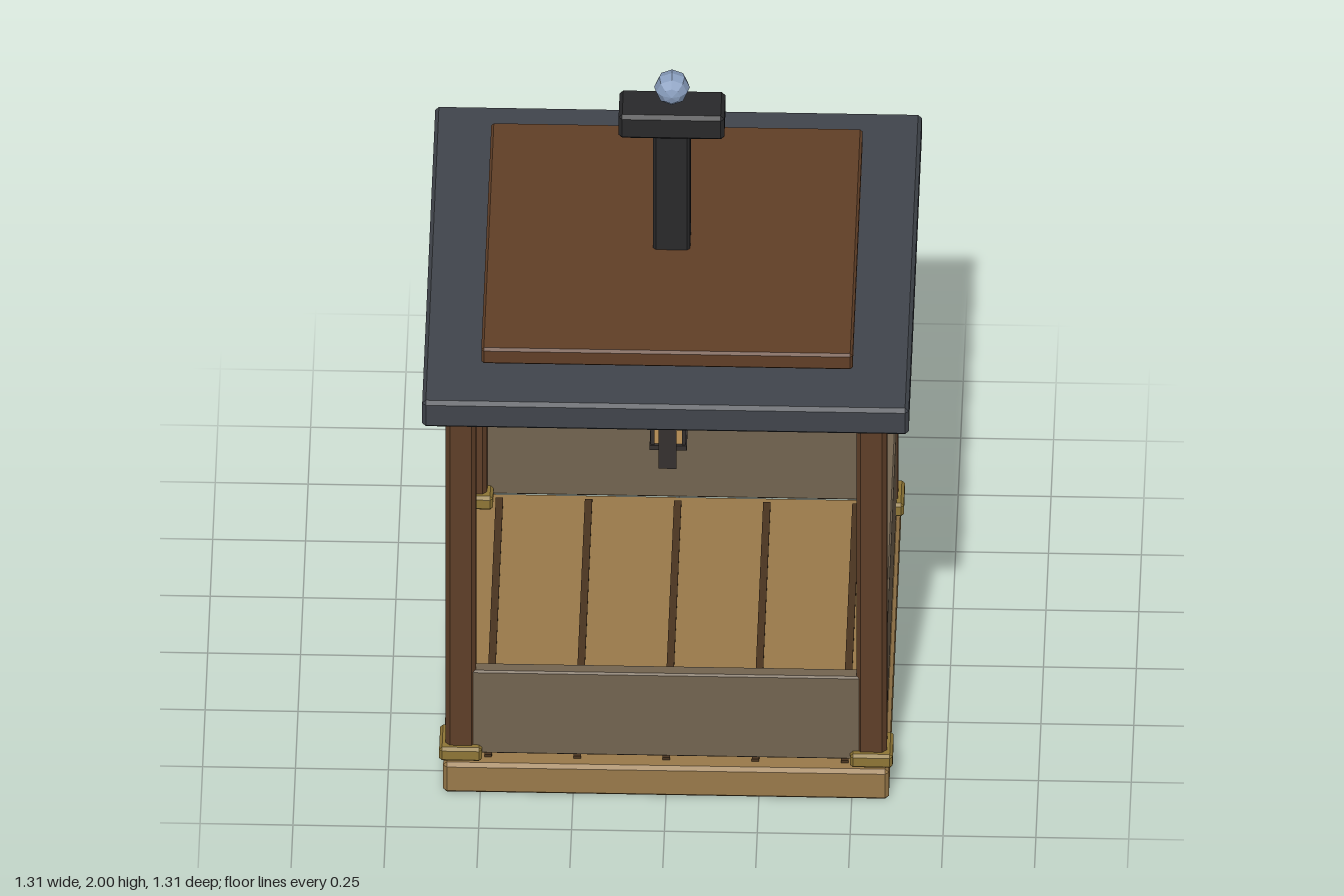
import * as THREE from 'three';
import { ConvexGeometry } from 'three/addons/geometries/ConvexGeometry.js';

const mat = (color) => new THREE.MeshStandardMaterial({ color, flatShading: true });
const M = {
  oak: mat(0x9a7a4a), post: mat(0x5e3f28), wall: mat(0x736450), slate: mat(0x41454c),
  shingle: mat(0x613f27), iron: mat(0x29292b), brass: mat(0x8f7636),
  glass: mat(0xc0955a), crystal: mat(0x8ba0c0), gap: mat(0x4a3520), lamp: mat(0x35302f),
};

// Box with a flat chamfer on every edge
function chamferBox(w, h, d, c) {
  const pts = [];
  for (const sx of [-1, 1]) for (const sy of [-1, 1]) for (const sz of [-1, 1]) {
    const x = w / 2, y = h / 2, z = d / 2;
    pts.push(
      new THREE.Vector3(sx * x, sy * (y - c), sz * (z - c)),
      new THREE.Vector3(sx * (x - c), sy * y, sz * (z - c)),
      new THREE.Vector3(sx * (x - c), sy * (y - c), sz * z));
  }
  return new ConvexGeometry(pts);
}

function add(parent, name, geometry, material, x = 0, y = 0, z = 0) {
  const mesh = new THREE.Mesh(geometry, material);
  mesh.name = name;
  mesh.position.set(x, y, z);
  parent.add(mesh);
  return mesh;
}

// Block given by its bottom and top heights
function block(parent, name, material, w, y0, y1, d, x = 0, z = 0, c = 0) {
  const h = y1 - y0;
  const geometry = c ? chamferBox(w, h, d, c) : new THREE.BoxGeometry(w, h, d);
  return add(parent, name, geometry, material, x, (y0 + y1) / 2, z);
}

function createLantern() {
  const g = new THREE.Group();
  g.name = 'lantern';
  // Bracket
  block(g, 'bracketPlate', M.lamp, 0.048, 1.01, 1.245, 0.026, 0, 0.448);
  block(g, 'bracketArm', M.lamp, 0.026, 1.203, 1.23, 0.13, 0, 0.395);
  add(g, 'hook', new THREE.CylinderGeometry(0.005, 0.005, 0.06, 6), M.lamp, 0, 1.18, 0.333);
  // Lamp housing
  const lamp = new THREE.Group();
  lamp.name = 'lampHousing';
  lamp.position.z = 0.33;
  g.add(lamp);
  block(lamp, 'lampBase', M.lamp, 0.1, 1.01, 1.026, 0.1);
  block(lamp, 'lampGlass', M.glass, 0.084, 1.026, 1.137, 0.084);
  for (const x of [-0.042, 0.042]) for (const z of [-0.042, 0.042])
    block(lamp, 'lampCornerBar', M.lamp, 0.01, 1.026, 1.137, 0.01, x, z);
  const roof = new THREE.CylinderGeometry(0.03 * Math.SQRT2, 0.05 * Math.SQRT2, 0.033, 4);
  roof.rotateY(Math.PI / 4);
  add(lamp, 'lampRoof', roof, M.lamp, 0, 1.153, 0);
  return g;
}

export function createModel() {
  const model = new THREE.Group();
  model.name = 'kiosk';

  // Floor with dark plank seams
  block(model, 'base', M.oak, 1.2, 0, 0.1, 1.2, 0, 0, 0.01);
  for (let i = -2; i <= 2; i++)
    block(model, 'plankSeam', M.gap, 0.02, 0.09, 0.108, 1.13, i * 0.24);

  // Corner posts with brass collars
  for (const x of [-0.553, 0.553]) for (const z of [-0.553, 0.553]) {
    block(model, 'post', M.post, 0.082, 0.1, 1.3, 0.082, x, z, 0.012);
    block(model, 'postCollar', M.brass, 0.115, 0.115, 0.16, 0.115, x, z, 0.008);
  }

  // Low side walls
  for (const s of [-1, 1]) {
    block(model, 'wall', M.wall, 1.1, 0.13, 0.41, 0.04, 0, s * 0.57, 0.005);
    block(model, 'sideWall', M.wall, 0.04, 0.13, 0.41, 1.1, s * 0.57, 0, 0.005);
  }

  // Sign board on the back wall
  block(model, 'signFrame', M.brass, 0.52, 0.28, 0.445, 0.02, 0, -0.598, 0.004);
  block(model, 'signPanel', M.iron, 0.465, 0.305, 0.425, 0.02, 0, -0.61, 0.003);

  // Two-tier roof
  block(model, 'roofSlab', M.slate, 1.31, 1.284, 1.372, 1.31, 0, 0, 0.01);
  block(model, 'roofPanel', M.shingle, 1.0, 1.384, 1.437, 1.0, 0, 0, 0.007);

  // Chimney, cap and faceted finial
  block(model, 'chimney', M.iron, 0.1, 1.365, 1.83, 0.1, 0, 0, 0.008);
  block(model, 'chimneyCap', M.iron, 0.285, 1.818, 1.897, 0.125, 0, 0, 0.01);
  const ball = new THREE.SphereGeometry(0.048, 8, 6);
  ball.rotateX(Math.PI / 2);
  add(model, 'finial', ball, M.crystal, 0, 1.952, 0);

  model.add(createLantern());
  return model;
}
